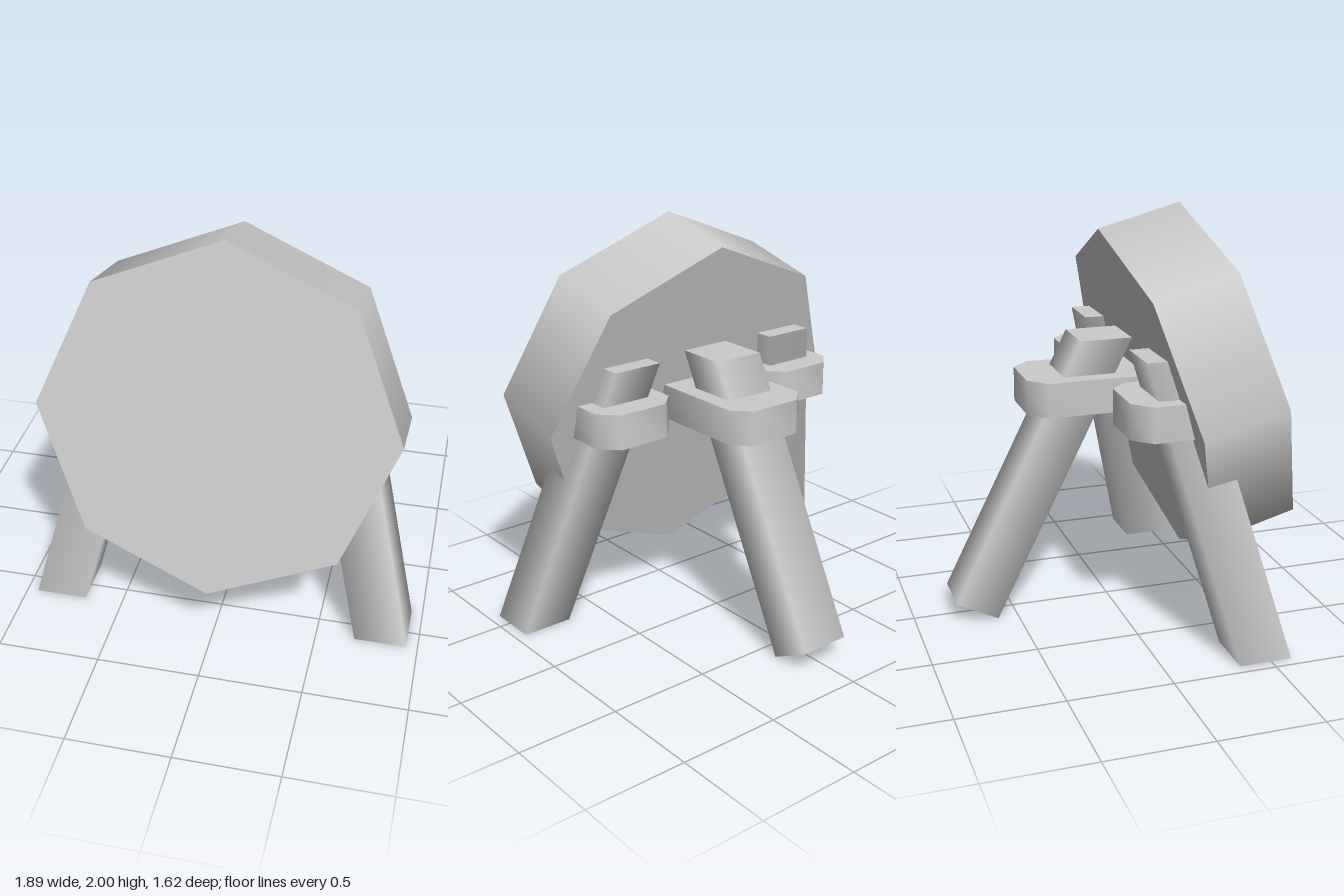
import * as THREE from 'three';
import { toCreasedNormals } from 'three/addons/utils/BufferGeometryUtils.js';

const material = new THREE.MeshStandardMaterial({ color: 0xcccccc });

function addMesh(group, name, geometry) {
  const mesh = new THREE.Mesh(geometry, material);
  mesh.name = name;
  group.add(mesh);
  return mesh;
}

// Square post leaning from its foot by a shear; heelLift raises the rear edge of the foot.
function legGeometry(size, height, foot, lean, heelLift = 0) {
  const geo = new THREE.CylinderGeometry(size / Math.SQRT2, size / Math.SQRT2, height, 4, 1, false, Math.PI / 4);
  geo.translate(0, height / 2, 0);
  const { position, normal } = geo.attributes;
  for (let i = 0; heelLift && i < position.count; i++) {
    if (position.getY(i) > 0.01) continue;
    position.setY(i, heelLift * (0.5 - position.getZ(i) / size));
  }
  geo.applyMatrix4(new THREE.Matrix4().set(
    1, lean.x, 0, foot.x,
    0, 1, 0, 0,
    0, lean.z, 1, foot.z,
    0, 0, 0, 1));
  // Slanted sole faces down and back
  for (let i = 0; heelLift && i < normal.count; i++) {
    if (normal.getY(i) < -0.9) normal.setXYZ(i, 0, -0.894, -0.447);
  }
  return geo;
}

// Flat block with cut corners, spanning x0..x1 and z0..z1.
function collarGeometry(x0, x1, z0, z1) {
  const c = 0.085;
  const points = [
    [x0 + c, z1], [x1 - c, z1], [x1, z1 - c], [x1, z0 + c],
    [x1 - c, z0], [x0 + c, z0], [x0, z0 + c], [x0, z1 - c],
  ].map(([x, z]) => new THREE.Vector2(x, -z));
  const geo = new THREE.ExtrudeGeometry(new THREE.Shape(points), { depth: 0.17, bevelEnabled: false });
  geo.rotateX(-Math.PI / 2).translate(0, 1.04, 0);
  return toCreasedNormals(geo, Math.PI / 3);
}

export function createModel() {
  const model = new THREE.Group();
  model.name = 'targetOnTripod';

  // Eight-sided disc, tipped back
  const disc = addMesh(model, 'disc', new THREE.CylinderGeometry(0.852, 0.852, 0.425, 8));
  disc.rotation.x = THREE.MathUtils.degToRad(75);
  disc.position.set(0, 1.1225, 0.385);

  // Front legs and their collars
  for (const [side, s] of [['left', 1], ['right', -1]]) {
    addMesh(model, `${side}FrontLeg`,
      legGeometry(0.255, 1.38, { x: s * 0.8175, z: 0.4725 }, { x: -s * 0.25, z: -0.25 }));
    const [x0, x1] = s > 0 ? [0.3, 0.72] : [-0.72, -0.3];
    addMesh(model, `${side}FrontCollar`, collarGeometry(x0, x1, -0.09, 0.335));
  }

  // Rear leg and its collar
  addMesh(model, 'rearLeg', legGeometry(0.257, 1.38, { x: 0, z: -0.73 }, { x: 0, z: 0.5 }, 0.105));
  addMesh(model, 'rearCollar', collarGeometry(-0.215, 0.215, -0.435, 0.3));

  return model;
}
